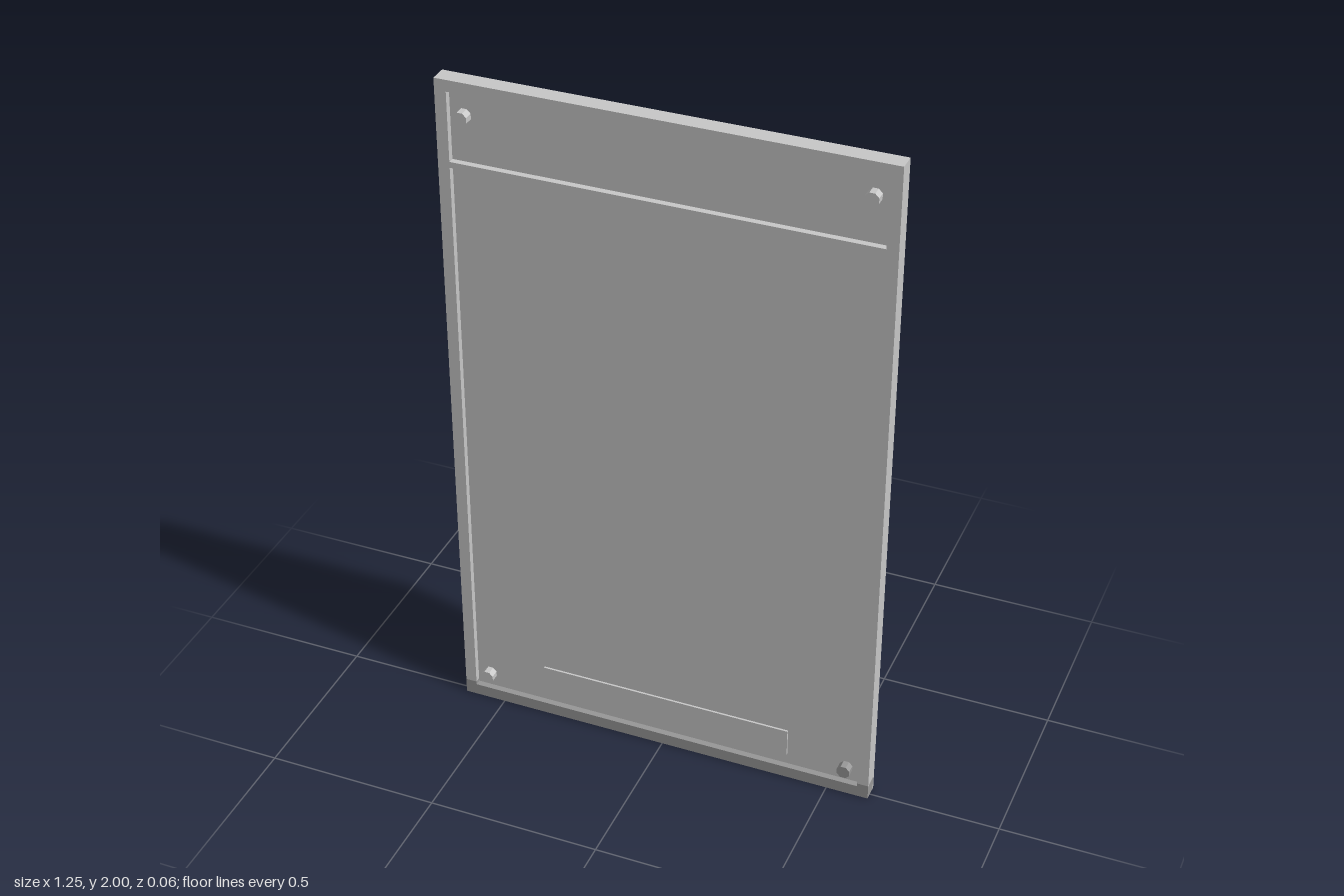
import * as THREE from 'three';

export function createModel() {
  const group = new THREE.Group();
  const grey = new THREE.MeshStandardMaterial({ color: 0xc8c8c8 });
  grey.name = 'panel grey';
  const dark = new THREE.MeshStandardMaterial({ color: 0x989898 });
  dark.name = 'sill grey';

  // box from its minimum and maximum corners
  const box = (name, mat, x0, x1, y0, y1, z0, z1) => {
    const mesh = new THREE.Mesh(new THREE.BoxGeometry(x1 - x0, y1 - y0, z1 - z0), mat);
    mesh.position.set((x0 + x1) / 2, (y0 + y1) / 2, (z0 + z1) / 2);
    mesh.name = name;
    group.add(mesh);
  };

  const W = 0.623, I = 0.59, BACK = -0.03, FRONT = 0.02, PANEL = -0.018, FACE = 0.002;
  const SILL = 0.035, FOOT = 0.045, TOP = 1.967, MID0 = 1.75, MID1 = 1.767;
  const SKIN = BACK + 0.006;

  // surrounding frame, with the feet of the stiles in the sill colour
  for (const [side, x0, x1] of [['left', I, W], ['right', -W, -I]]) {
    box(side + 'Stile', grey, x0, x1, FOOT, 2, BACK, FRONT);
    box(side + 'StileFoot', dark, x0, x1, 0, FOOT, SKIN, FRONT);
    box(side + 'StileFootBack', grey, x0, x1, 0, FOOT, BACK, SKIN);
  }
  box('topRail', grey, -I, I, TOP, 2, BACK, FRONT);
  box('middleRail', grey, -I, I, MID0, MID1, BACK, FRONT);
  box('bottomRail', dark, -I, I, 0, SILL, SKIN, FRONT);
  box('bottomRailBack', grey, -I, I, 0, SILL, BACK, SKIN);

  // recessed panels and a low plate near the bottom
  box('upperPanel', grey, -I, I, MID1, TOP, PANEL, FACE);
  box('lowerPanel', grey, -I, I, SILL, MID0, PANEL, FACE);
  box('plate', grey, -0.375, 0.375, 0.07, 0.155, FACE, FACE + 0.006);

  // octagonal studs at the corners, one of them darker
  const stud = new THREE.CylinderGeometry(0.02, 0.02, 0.027, 8, 1, false, Math.PI / 8).toNonIndexed();
  stud.rotateX(Math.PI / 2);
  stud.computeVertexNormals();
  for (const x of [-0.55, 0.55]) {
    for (const y of [0.08, 1.9]) {
      const mesh = new THREE.Mesh(stud, x > 0 && y < 1 ? dark : grey);
      mesh.position.set(x, y, FACE + 0.0135);
      mesh.name = 'cornerStud';
      group.add(mesh);
    }
  }
  return group;
}
